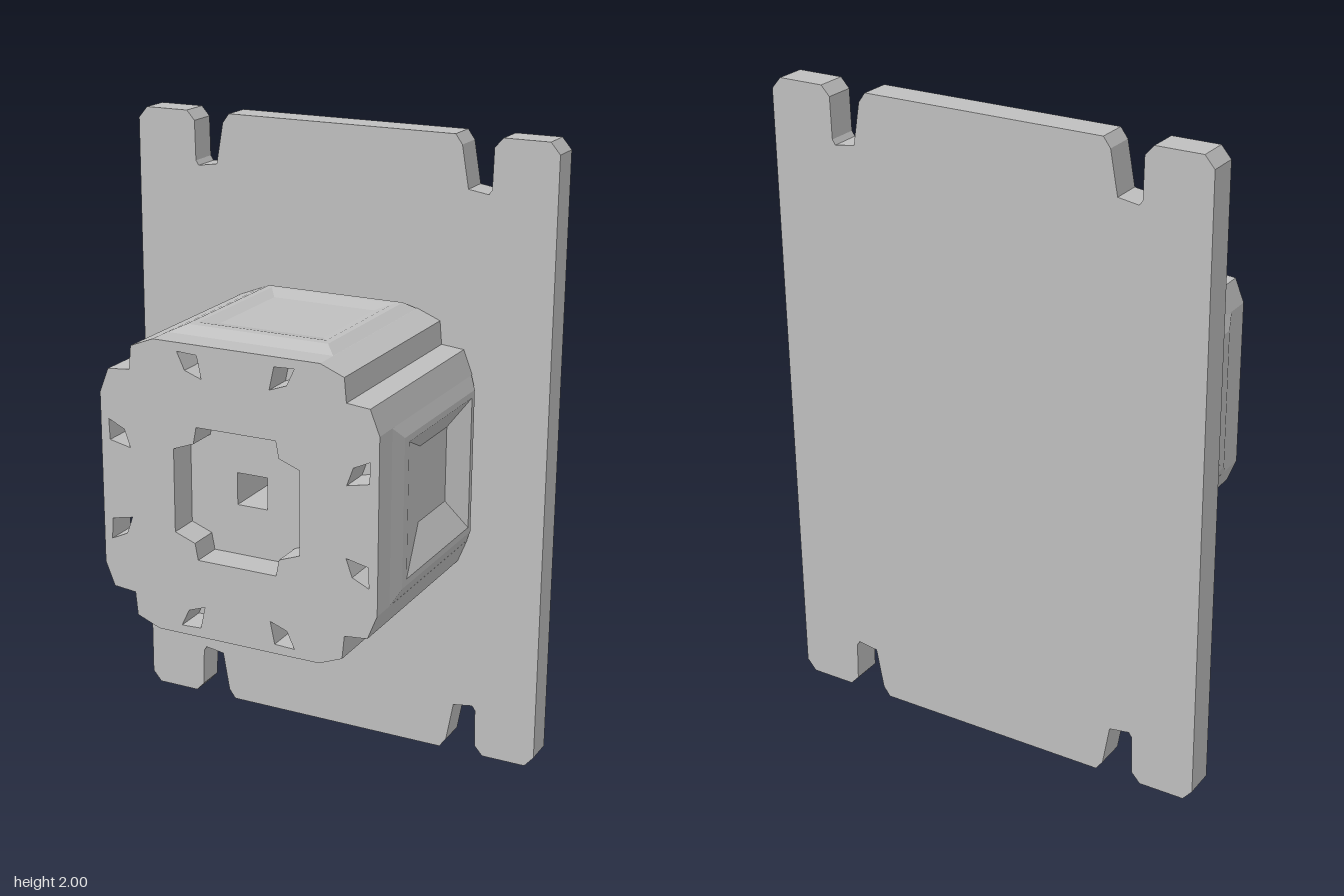
import * as THREE from 'three';

const V = (x, y) => new THREE.Vector2(x, y);

// Mirror a quarter outline (listed from the y axis to the x axis) into a full loop
function mirrorQuarter(q) {
  const r = [...q].reverse();
  return [
    ...r.map(([x, y]) => V(x, y)),
    ...q.map(([x, y]) => V(-x, y)),
    ...r.map(([x, y]) => V(-x, -y)),
    ...q.map(([x, y]) => V(x, -y)),
  ];
}

function extrude(points, holes, z0, z1) {
  const shape = new THREE.Shape(points);
  shape.holes = holes.map((h) => new THREE.Path(h));
  return new THREE.ExtrudeGeometry(shape, { depth: z1 - z0, bevelEnabled: false }).translate(0, 0, z0);
}

// Side panel facing +x, lofted through rectangles [x, halfWidth, zBack, zFront]
function panel(rings) {
  const pos = [];
  const loops = rings.map(([x, t, b, f]) => [[x, -t, b], [x, t, b], [x, t, f], [x, -t, f]]);
  const quad = (a, b, c, d) => pos.push(...a, ...b, ...c, ...a, ...c, ...d);
  for (let i = 0; i < loops.length - 1; i++) {
    for (let k = 0; k < 4; k++) {
      const n = (k + 1) % 4;
      quad(loops[i][k], loops[i][n], loops[i + 1][n], loops[i + 1][k]);
    }
  }
  quad(...loops[loops.length - 1]);
  const g = new THREE.BufferGeometry();
  g.setAttribute('position', new THREE.Float32BufferAttribute(pos, 3));
  g.computeVertexNormals();
  return g;
}

export function createModel() {
  const model = new THREE.Group();
  const grey = new THREE.MeshStandardMaterial({ color: 0xbfbfbf, flatShading: true });
  grey.name = 'plain grey';
  const add = (name, geometry, parent) => {
    const mesh = new THREE.Mesh(geometry, grey);
    mesh.name = name;
    parent.add(mesh);
    return mesh;
  };

  // Mounting plate with two slots at each end
  const plate = add('mountingPlate', extrude(mirrorQuarter([
    [0.38, 1], [0.402, 0.97], [0.425, 0.84], [0.49, 0.83], [0.5, 0.845],
    [0.503, 0.97], [0.53, 1], [0.675, 1], [0.705, 0.965],
  ]), [], -0.375, -0.28), model);
  plate.position.y = 1;

  const block = new THREE.Group();
  block.name = 'block';
  block.position.y = 1.005;
  model.add(block);

  // Core with stepped corners, cut back at the sides to leave room for the pockets
  const corner = [[0.27, 0.455], [0.345, 0.425], [0.352, 0.352], [0.425, 0.345], [0.455, 0.27]];
  const s = 0.05;
  const square = [V(-s, -s), V(-s, s), V(s, s), V(s, -s)];
  add('blockCore', extrude(mirrorQuarter([...corner, [0.4, 0.24]]), [square], -0.285, 0.28), block);

  // Front face with a stepped cross recess and eight small notches
  const cross = mirrorQuarter([[0.13, 0.207], [0.14, 0.155], [0.207, 0.13]]);
  const notches = [];
  for (const a of [1, -1]) {
    for (const b of [1, -1]) {
      const notch = [[0.11, 0.355], [0.165, 0.375], [0.19, 0.428], [0.125, 0.425]];
      notches.push(notch.map(([x, y]) => V(a * x, b * y)));
      notches.push(notch.map(([x, y]) => V(a * y, b * x)));
    }
  }
  add('frontFace', extrude(mirrorQuarter(corner), [cross, ...notches], 0.28, 0.38), block);

  // Raised panels: deep pockets left and right, shallow dishes above and below
  const rim = [[0.45, 0.28, -0.28, 0.31], [0.473, 0.23, -0.26, 0.25], [0.473, 0.21, -0.24, 0.22]];
  const deep = panel([...rim, [0.41, 0.12, -0.2, 0]]);
  const shallow = panel([...rim, [0.46, 0.17, -0.18, 0.16]]);
  ['leftPanel', 'topPanel', 'rightPanel', 'bottomPanel'].forEach((name, i) => {
    const g = i % 2 ? shallow : deep;
    add(name, g, block).rotation.z = i * Math.PI / 2;
  });

  return model;
}
